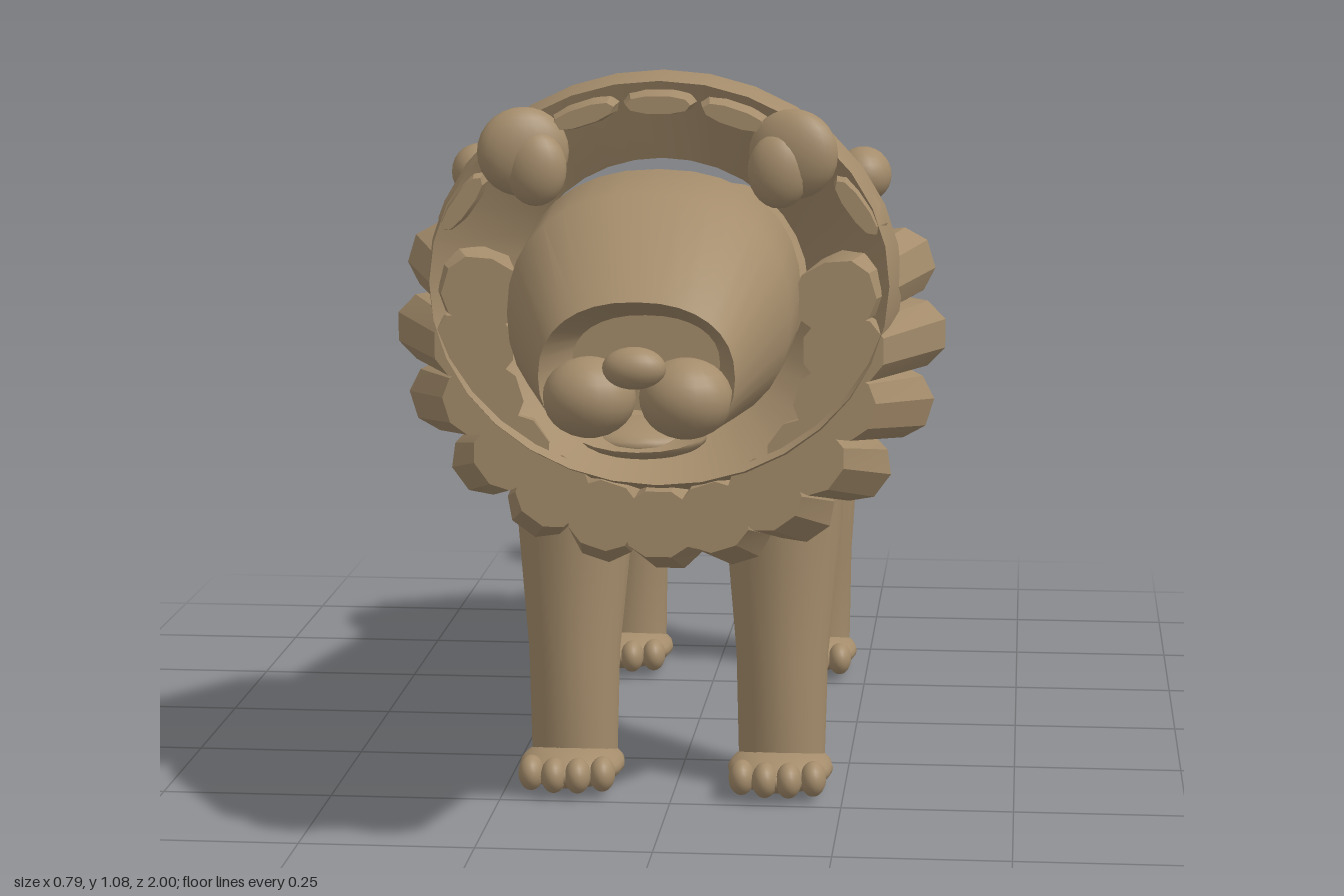
import * as THREE from 'three';
import { toCreasedNormals } from 'three/addons/utils/BufferGeometryUtils.js';

const fur = new THREE.MeshStandardMaterial({ color: 0xa48c6b, side: THREE.DoubleSide });
fur.name = 'tan fur';

// Skin over elliptical rings [y, z, radiusX, radiusPerp, tilt]; at tilt 0 the rings face +z
function loft(rings, { n = 28, x = 0, capStart = true, capEnd = true, power = 1, crease = 0.6 } = {}) {
  const pos = [], index = [];
  const bend = v => Math.sign(v) * Math.pow(Math.abs(v), power);
  for (const [y, z, rx, rp, tilt = 0] of rings) {
    for (let i = 0; i < n; i++) {
      const a = (i / n) * Math.PI * 2;
      const p = rp * bend(Math.sin(a));
      pos.push(x + rx * bend(Math.cos(a)), y + p * Math.cos(tilt), z + p * Math.sin(tilt));
    }
  }
  for (let j = 0; j < rings.length - 1; j++) {
    for (let i = 0; i < n; i++) {
      const a = j * n + i, b = j * n + (i + 1) % n;
      index.push(a, b, a + n, b, b + n, a + n);
    }
  }
  const last = (rings.length - 1) * n;
  for (let i = 1; i < n - 1; i++) {
    if (capStart) index.push(0, i + 1, i);
    if (capEnd) index.push(last, last + i, last + i + 1);
  }
  const g = new THREE.BufferGeometry();
  g.setAttribute('position', new THREE.Float32BufferAttribute(pos, 3));
  g.setIndex(index);
  return toCreasedNormals(g, crease);
}

// Ring upright at z, given by its top, bottom and half width
const slice = (z, top, bottom, rx, tilt = 0) => [(top + bottom) / 2, z, rx, (top - bottom) / 2, tilt];
// Level ring for legs, given by its height and its z range
const level = (y, z0, z1, rx) => [y, (z0 + z1) / 2, rx, (z1 - z0) / 2, Math.PI / 2];

export function createModel() {
  const lion = new THREE.Group();
  lion.name = 'lion';

  const add = (name, geometry, parent = lion) => {
    const mesh = new THREE.Mesh(geometry, fur);
    mesh.name = name;
    parent.add(mesh);
    return mesh;
  };
  const ball = (name, x, y, z, rx, ry, rz, parent = lion) => {
    const mesh = add(name, new THREE.SphereGeometry(1, 20, 14), parent);
    mesh.position.set(x, y, z);
    mesh.scale.set(rx, ry, rz);
    return mesh;
  };

  // Trunk
  add('body', loft([
    slice(-0.565, 0.67, 0.49, 0.09),
    slice(-0.43, 0.815, 0.45, 0.17),
    slice(-0.17, 0.79, 0.45, 0.175),
    slice(0.14, 0.85, 0.39, 0.22),
    slice(0.3, 0.88, 0.42, 0.235),
    slice(0.48, 0.86, 0.5, 0.2),
  ]));

  // Mane hood, folding inward at the front to meet the head
  add('maneHood', loft([
    slice(0.21, 0.945, 0.5, 0.25),
    slice(0.4, 1.055, 0.46, 0.305),
    slice(0.57, 1.08, 0.48, 0.335),
    slice(0.655, 1.07, 0.51, 0.32, -0.09),
    slice(0.52, 0.97, 0.58, 0.2, 0.35),
  ], { n: 32, capStart: false, capEnd: false }));

  // Pointed locks round the sides and bottom of the mane
  const mane = new THREE.Group();
  mane.name = 'maneLocks';
  mane.position.y = 0.7;
  lion.add(mane);
  const lock = (deg, rings) => {
    const mesh = add('maneLock', loft(rings, { n: 10, power: 0.85, crease: 0.5 }), mane);
    mesh.rotation.z = THREE.MathUtils.degToRad(deg - 90);
  };
  const longLock = deg => {
    const s = 0.045 * Math.sin(THREE.MathUtils.degToRad(deg)) ** 2;
    lock(deg, [
      slice(0.26, 0.29 - s, 0.23 - s, 0.02),
      slice(0.48, 0.397 - s, 0.24 - s, 0.056),
      slice(0.66, 0.315 - s * 0.4, 0.2, 0.05),
    ]);
  };
  for (const deg of [17, 0, -17, -36, -54, -72]) {
    longLock(deg);
    longLock(180 - deg);
  }
  longLock(-90);

  // Short locks along the top rim
  for (let deg = 36; deg <= 144; deg += 18) {
    lock(deg, [slice(0.5, 0.34, 0.31, 0.03), slice(0.6, 0.364, 0.32, 0.055), slice(0.655, 0.35, 0.325, 0.045)]);
  }

  // Head, hollowed at the end of the snout
  add('head', loft([
    slice(0.48, 0.92, 0.62, 0.17),
    slice(0.63, 0.947, 0.6, 0.197),
    slice(0.785, 0.93, 0.6, 0.193),
    slice(0.945, 0.805, 0.605, 0.13),
    slice(0.82, 0.77, 0.64, 0.1),
  ], { n: 32, power: 0.88 }));
  ball('lowerJaw', 0, 0.61, 0.85, 0.085, 0.027, 0.085);
  ball('nose', 0, 0.722, 0.972, 0.042, 0.028, 0.028);

  // Tail with a tufted tip
  const tail = [
    [0.59, -0.53, 0.032], [0.47, -0.73, 0.026], [0.498, -0.875, 0.022],
    [0.605, -0.948, 0.052], [0.668, -0.978, 0.022],
  ];
  add('tail', loft(tail.map(([y, z, r], i) => {
    const a = tail[Math.max(i - 1, 0)], b = tail[Math.min(i + 1, tail.length - 1)];
    return [y, z, r, r, Math.atan2(a[0] - b[0], b[1] - a[1])];
  }), { n: 14 }));

  for (const side of [-1, 1]) {
    const pair = side > 0 ? 'left' : 'right';

    // Cheeks, ears and mane knobs
    ball(pair + 'Cheek', side * 0.064, 0.676, 0.93, 0.062, 0.054, 0.057);
    ball(pair + 'Ear', side * 0.187, 0.972, 0.655, 0.064, 0.062, 0.033).rotation.y = side * -0.25;
    ball(pair + 'InnerEar', side * 0.168, 0.95, 0.667, 0.043, 0.052, 0.03);
    ball(pair + 'ManeKnob', side * 0.275, 0.925, 0.47, 0.04, 0.04, 0.045);

    // Legs
    const x = side * 0.155;
    add(pair + 'FrontLeg', loft([
      level(0.52, 0.3, 0.4, 0.05), level(0.48, 0.25, 0.44, 0.09),
      level(0.4, 0.255, 0.43, 0.087), level(0.2, 0.295, 0.43, 0.068), level(0.04, 0.305, 0.425, 0.064),
    ], { x, n: 20 }));
    ball(pair + 'Thigh', side * 0.165, 0.58, -0.37, 0.086, 0.118, 0.118);
    add(pair + 'BackLeg', loft([
      level(0.58, -0.487, -0.255, 0.084), level(0.4, -0.437, -0.25, 0.08),
      level(0.2, -0.465, -0.325, 0.066), level(0.04, -0.45, -0.33, 0.064),
    ], { x, n: 20 }));

    // Paws with four toes each
    for (const [end, z] of [['Front', 0.395], ['Back', -0.36]]) {
      const paw = new THREE.Group();
      paw.name = pair + end + 'Paw';
      paw.position.set(x, 0, z);
      lion.add(paw);
      ball('foot', 0, 0.035, 0, 0.078, 0.031, 0.098, paw);
      for (let t = 0; t < 4; t++) {
        const u = t - 1.5;
        ball('toe', u * 0.035, 0.037, 0.09 - Math.abs(u) * 0.013, 0.019, 0.026, 0.027, paw);
      }
    }
  }
  return lion;
}
